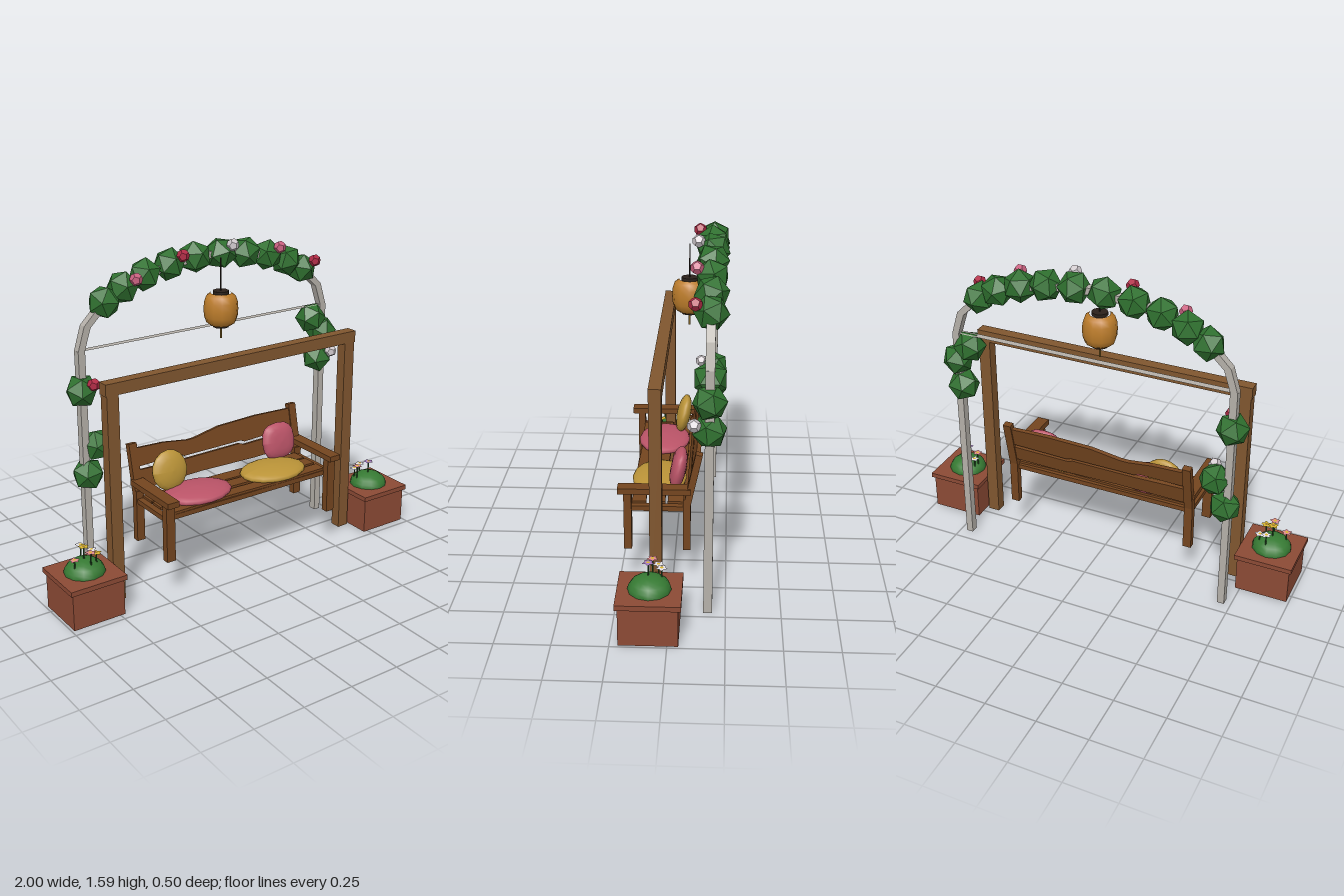
import * as THREE from 'three';

const mat = (color, extra = {}) => new THREE.MeshStandardMaterial({ color, ...extra });
const flat = { flatShading: true }, thin = { side: THREE.DoubleSide };
const M = {
  frame: mat(0x80562f), bench: mat(0x74451f), brick: mat(0x8c4a35), metal: mat(0xb5b0a9, thin),
  leaf: mat(0x2f702f, flat), mound: mat(0x367a33), pink: mat(0xbb5468), gold: mat(0xbb9438),
  lantern: mat(0xbd7d2b), dark: mat(0x2b211b), tassel: mat(0x9a762c), stem: mat(0x2b5a2b),
  roseRed: mat(0xb02a45, flat), rosePink: mat(0xc9607f, flat), roseWhite: mat(0xcfc8cc, flat),
  petalWhite: mat(0xe6e2ea, thin), petalPink: mat(0xdf8a8f, thin), petalGold: mat(0xd9b52e, thin),
  petalPurple: mat(0xa77cc4, thin),
};

function add(parent, name, geometry, material, x = 0, y = 0, z = 0) {
  const mesh = new THREE.Mesh(geometry, material);
  mesh.name = name;
  mesh.position.set(x, y, z);
  parent.add(mesh);
  return mesh;
}
const box = (w, h, d) => new THREE.BoxGeometry(w, h, d);
const rod = (r, h) => new THREE.CylinderGeometry(r, r, h, 6);
function group(parent, name, x = 0, y = 0, z = 0) {
  const g = new THREE.Group();
  g.name = name;
  g.position.set(x, y, z);
  parent.add(g);
  return g;
}

// Plank with uneven long edges, centred in depth
function plank(points, depth) {
  const s = new THREE.Shape(points.map(([x, y]) => new THREE.Vector2(x, y)));
  return new THREE.ExtrudeGeometry(s, { depth, bevelEnabled: false }).translate(0, 0, -depth / 2);
}

// Cushion: flattened ball, optionally squared off in outline
function cushion(rx, ry, rz, square = 1) {
  const g = new THREE.SphereGeometry(1, 16, 10).rotateX(Math.PI / 2);
  const p = g.attributes.position;
  const f = (v) => Math.sign(v) * Math.abs(v) ** square;
  for (let i = 0; i < p.count; i++) p.setXYZ(i, f(p.getX(i)) * rx, f(p.getY(i)) * ry, p.getZ(i) * rz);
  g.computeVertexNormals();
  return g;
}

function buildFrame(root) {
  const g = group(root, 'swingFrame', 0, 0, 0.063);
  for (const s of [-1, 1]) add(g, 'framePost', box(0.06, 1.03, 0.055), M.frame, s * 0.682, 0.515);
  add(g, 'frameBeam', box(1.434, 0.058, 0.057), M.frame, 0, 1.05);
}

function buildArch(root) {
  const g = group(root, 'gardenArch', 0, 0, -0.17), base = 1.165, n = 10;
  for (const s of [-1, 1]) add(g, 'archPole', box(0.035, base, 0.04), M.metal, s * 0.7, base / 2);

  // Half-elliptical hoop with a thin tie strip across its feet
  const arc = (rx, ry) => Array.from({ length: n + 1 }, (_, i) =>
    [rx * Math.cos((i * Math.PI) / n), ry * Math.sin((i * Math.PI) / n)]);
  add(g, 'archHoop', plank([...arc(0.717, 0.367), ...arc(0.683, 0.333).reverse()], 0.04), M.metal, 0, base);
  add(g, 'tieStrip', new THREE.PlaneGeometry(1.37, 0.035).rotateX(-Math.PI / 2), M.metal, 0, base);

  // Foliage clumps along the hoop and on the poles
  const clumps = [[0.636, 1.1], [0.706, 1.02], [0.684, 0.88], [-0.7, 0.973], [-0.63, 0.69], [-0.685, 0.555]];
  for (let i = 0; i < 10; i++) {
    const a = ((36 + i * 12) * Math.PI) / 180;
    clumps.push([0.7 * Math.cos(a), base + 0.35 * Math.sin(a)]);
  }
  clumps.forEach(([x, y], i) => {
    add(g, 'foliage', new THREE.IcosahedronGeometry(0.08, 0), M.leaf, x, y).rotation.set(i * 0.7, i * 1.3, i * 0.5);
  });

  // Roses on the front of the foliage
  const roses = [
    [-0.433, 1.47, 'rosePink'], [-0.18, 1.545, 'roseRed'], [0.1, 1.56, 'roseWhite'], [0.38, 1.513, 'rosePink'],
    [0.6, 1.417, 'roseRed'], [-0.604, 0.727, 'roseWhite'], [0.722, 0.92, 'roseWhite'], [-0.67, 1.015, 'roseRed'],
  ];
  for (const [x, y, m] of roses) add(g, 'rose', new THREE.DodecahedronGeometry(0.031, 0), M[m], x, y, 0.066);
}

function buildLantern(root) {
  const g = group(root, 'lantern', 0, 1.275, -0.06);
  const half = [[0.05, 0.078], [0.07, 0.064], [0.08, 0.035]];
  const profile = [...half.map(([r, y]) => [r, -y]), [0.083, 0], ...half.reverse()];
  add(g, 'lanternBody', new THREE.LatheGeometry(profile.map(([r, y]) => new THREE.Vector2(r, y)), 12), M.lantern);
  for (const s of [-1, 1]) add(g, 'lanternCap', new THREE.CylinderGeometry(0.039, 0.039, 0.016, 10), M.dark, 0, s * 0.08);
  add(g, 'cord', rod(0.003, 0.16), M.dark, 0, 0.165);
  add(g, 'tassel', rod(0.005, 0.06), M.tassel, 0, -0.115);
}

function buildBench(root) {
  const g = group(root, 'bench');
  for (const s of [-1, 1]) {
    const x = s * 0.476;
    add(g, 'frontLeg', box(0.046, 0.285, 0.036), M.bench, x, 0.34, 0.205);
    add(g, 'backLeg', box(0.042, 0.26, 0.034), M.bench, x, 0.325, -0.067);
    add(g, 'armrest', box(0.062, 0.028, 0.335), M.bench, x, 0.495, 0.083);
    add(g, 'sideRail', box(0.03, 0.024, 0.26), M.bench, x, 0.404, 0.07);
  }
  add(g, 'frontRail', box(0.95, 0.024, 0.02), M.bench, 0, 0.402, 0.18);
  add(g, 'rearRail', box(0.95, 0.024, 0.02), M.bench, 0, 0.402, -0.06);

  // Seat boards with gently wavy edges
  for (let i = 0; i < 3; i++) {
    const z = -0.015 + i * 0.085, w = 0.04 - 0.003 * i;
    const pts = [[-0.46, -w], [-0.1, -w + 0.006], [0.15, -w], [0.46, -w + 0.003],
      [0.46, w], [0.2, w - 0.007], [-0.12, w], [-0.46, w - 0.004]];
    add(g, 'seatBoard', plank(pts, 0.016).rotateX(-Math.PI / 2), M.bench, 0, 0.418, z);
  }

  // Reclined backrest
  const back = group(g, 'backrest', 0, 0.42, -0.067);
  back.rotation.x = -0.21;
  for (const s of [-1, 1]) add(back, 'backPost', box(0.042, 0.27, 0.032), M.bench, s * 0.476, 0.128, 0);
  add(back, 'upperSlat', plank([[-0.46, 0.145], [-0.22, 0.15], [-0.2, 0.138], [0.14, 0.14], [0.16, 0.13], [0.46, 0.14],
    [0.46, 0.24], [0.25, 0.247], [0.02, 0.24], [-0.13, 0.213], [-0.17, 0.212], [-0.3, 0.23], [-0.46, 0.236]], 0.02), M.bench);
  add(back, 'lowerSlat', plank([[-0.46, 0.035], [-0.1, 0.042], [0.2, 0.035], [0.46, 0.04],
    [0.46, 0.122], [0.16, 0.115], [0.13, 0.126], [-0.2, 0.122], [-0.46, 0.128]], 0.02), M.bench);

  // Cushions
  const seatPad = cushion(0.18, 0.13, 0.034).rotateX(-Math.PI / 2);
  add(g, 'seatCushion', seatPad, M.pink, -0.23, 0.435, 0.072);
  add(g, 'seatCushion', seatPad, M.gold, 0.22, 0.435, 0.072);
  add(g, 'roundCushion', cushion(0.096, 0.1, 0.036), M.gold, -0.326, 0.537, -0.022).rotation.x = -0.2;
  add(g, 'squareCushion', cushion(0.096, 0.094, 0.036, 0.75), M.pink, 0.326, 0.537, -0.022).rotation.x = -0.2;
}

// Flat five-petalled blossom facing up
function blossom(r) {
  const s = new THREE.Shape();
  for (let i = 0; i <= 20; i++) {
    const a = (i / 20) * Math.PI * 2, d = r * (0.8 + 0.2 * Math.cos(5 * a));
    s[i ? 'lineTo' : 'moveTo'](d * Math.cos(a), d * Math.sin(a));
  }
  return new THREE.ShapeGeometry(s).rotateX(-Math.PI / 2);
}

function buildPlanter(root, x, flowers) {
  const g = group(root, 'planter', x, 0, 0.082);
  add(g, 'planterBox', box(0.262, 0.185, 0.262), M.brick, 0, 0.0925);
  add(g, 'planterRim', box(0.286, 0.024, 0.286), M.brick, 0, 0.192);
  const dome = new THREE.SphereGeometry(1, 12, 5, 0, Math.PI * 2, 0, Math.PI / 2).scale(0.097, 0.067, 0.097);
  add(g, 'plantMound', dome, M.mound, 0, 0.203);
  for (const [fx, fz, top, m] of flowers) {
    add(g, 'flowerStem', rod(0.0035, top - 0.21), M.stem, fx, (top + 0.21) / 2, fz);
    add(g, 'flowerPetals', blossom(0.027), M[m], fx, top, fz);
    const heart = new THREE.CircleGeometry(0.008, 8).rotateX(-Math.PI / 2);
    add(g, 'flowerHeart', heart, m === 'petalGold' ? M.tassel : M.petalGold, fx, top + 0.002, fz);
  }
}

export function createModel() {
  const root = new THREE.Group();
  root.name = 'gardenSwingSeat';
  buildFrame(root);
  buildArch(root);
  buildLantern(root);
  buildBench(root);
  buildPlanter(root, -0.857, [
    [0.015, -0.06, 0.31, 'petalWhite'], [0.055, -0.032, 0.285, 'petalWhite'], [0, 0, 0.33, 'petalGold'],
    [-0.062, 0.026, 0.29, 'petalPink'], [0.007, 0.053, 0.32, 'petalPink'], [0.044, 0.036, 0.3, 'petalGold'],
  ]);
  buildPlanter(root, 0.857, [
    [-0.017, -0.053, 0.3, 'petalWhite'], [-0.065, -0.037, 0.29, 'petalWhite'],
    [-0.007, 0.005, 0.33, 'petalPurple'], [-0.07, -0.01, 0.315, 'petalPink'],
  ]);
  return root;
}
